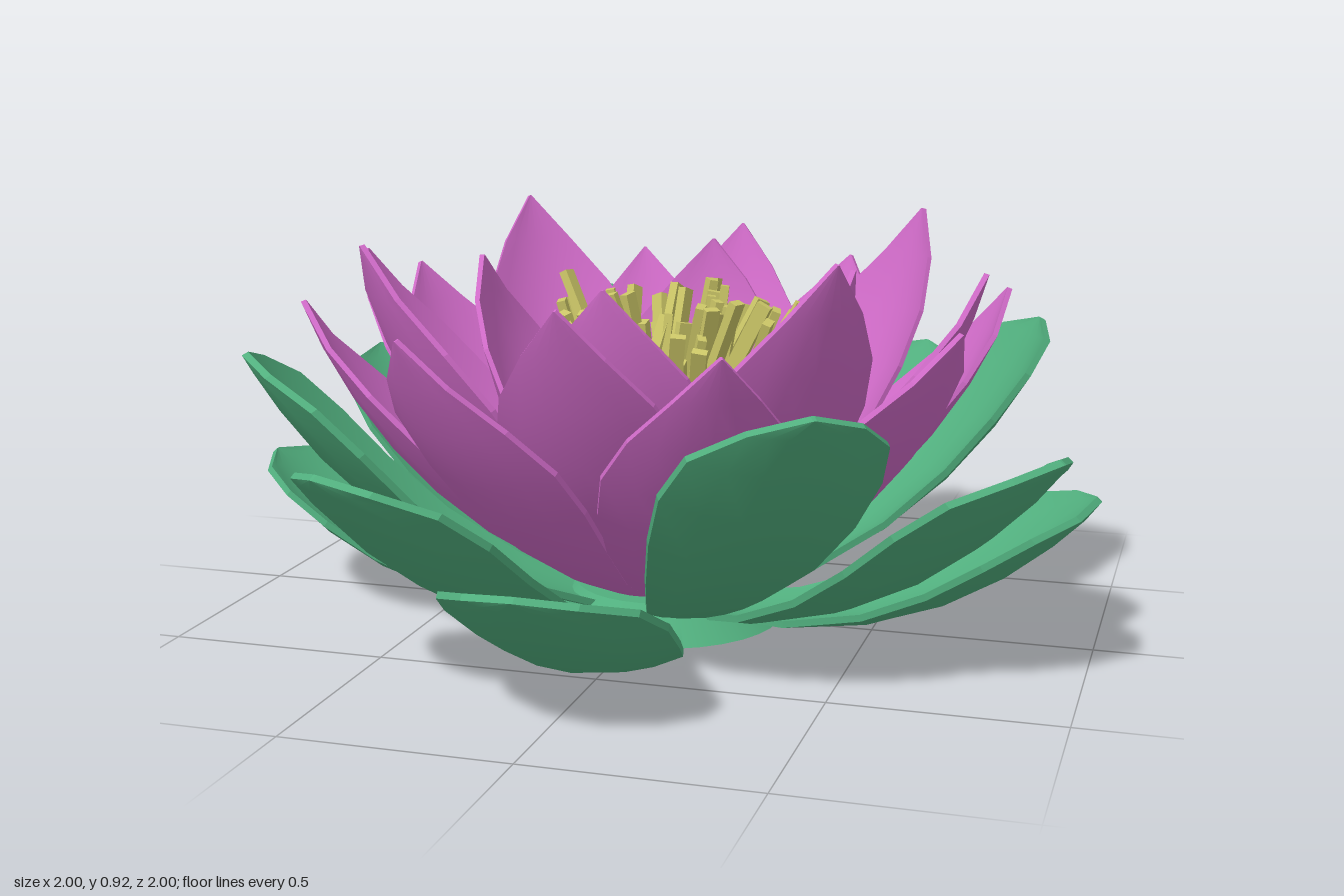
import * as THREE from 'three';

const green = new THREE.MeshStandardMaterial({ color: 0x51af7e });
green.name = 'leaf green';
const pink = new THREE.MeshStandardMaterial({ color: 0xd06bc8 });
pink.name = 'petal pink';
const yellow = new THREE.MeshStandardMaterial({ color: 0xcbc667 });
yellow.name = 'stamen yellow';

// Half-width outlines as [position along the blade, half width]
const LEAF = [[0, 0.07], [0.2, 0.135], [0.4, 0.19], [0.58, 0.225], [0.74, 0.237], [0.87, 0.21], [0.96, 0.12], [1, 0.004]];
const PETAL = [[0, 0.05], [0.18, 0.115], [0.35, 0.175], [0.5, 0.205], [0.64, 0.207], [0.78, 0.165], [0.9, 0.088], [1, 0.002]];

// Cupped blade: midline sags below the chord from base to tip, edges curl up
function bladeGeometry({ outline, base, tip, sag, cup, thick }) {
  const cols = 6, rows = outline.length;
  const [br, by] = base, dr = tip[0] - br, dy = tip[1] - by;
  const len = Math.hypot(dr, dy), cr = dr / len, cy = dy / len;
  const top = [], under = [];
  for (const [s, w] of outline) {
    const drop = 4 * sag * s * (1 - s);
    const slope = 4 * sag * (1 - 2 * s) / len;
    const r = br + dr * s + cy * drop, y = by + dy * s - cr * drop;
    let tr = cr + cy * slope, ty = cy - cr * slope;
    const tl = Math.hypot(tr, ty);
    tr /= tl; ty /= tl;
    for (let j = 0; j <= cols; j++) {
      const x = w * (2 * j / cols - 1), lift = cup * x * x;
      top.push([x, Math.max(y + tr * lift, thick), r - ty * lift]);
      under.push([x, Math.max(y + tr * (lift - thick), 0.002), r - ty * (lift - thick)]);
    }
  }
  const pos = [], index = [], n = cols + 1;
  const add = (p) => pos.push(...p) / 3 - 1;
  top.forEach(add);
  under.forEach(add);
  const off = top.length;
  for (let i = 0; i < rows - 1; i++) {
    for (let j = 0; j < cols; j++) {
      const a = i * n + j, b = a + 1, c = a + n, d = c + 1;
      index.push(a, c, b, b, c, d);
      index.push(off + a, off + b, off + c, off + b, off + d, off + c);
    }
  }
  // Sharp rim with its own vertices
  const loop = [];
  for (let i = 0; i < rows; i++) loop.push(i * n + cols);
  for (let i = rows - 1; i >= 0; i--) loop.push(i * n);
  loop.forEach((p, k) => {
    const q = loop[(k + 1) % loop.length];
    const a = add(top[p]), b = add(top[q]), c = add(under[p]), d = add(under[q]);
    index.push(a, b, c, b, d, c);
  });
  const g = new THREE.BufferGeometry();
  g.setAttribute('position', new THREE.Float32BufferAttribute(pos, 3));
  g.setIndex(index);
  g.computeVertexNormals();
  return g;
}

// Repeats one blade at the given angles, in degrees from the front
function ring(name, material, angles, shape) {
  const group = new THREE.Group();
  group.name = name;
  const geometry = bladeGeometry(shape);
  for (const a of angles) {
    const mesh = new THREE.Mesh(geometry, material);
    mesh.name = name + 'Blade';
    mesh.rotation.y = THREE.MathUtils.degToRad(a);
    group.add(mesh);
  }
  return group;
}

// Tangle of flat sticks leaning outward with a random swirl
function stamens() {
  const group = new THREE.Group();
  group.name = 'stamens';
  const count = 84, up = new THREE.Vector3(0, 1, 0);
  let seed = 23;
  const rand = () => (seed = (seed * 16807) % 2147483647) / 2147483647;
  for (let i = 0; i < count; i++) {
    const a = i * 2.4, r = 0.14 * Math.sqrt(i / count);
    const b = a + 0.5 + (rand() - 0.5) * 2.4, lean = 0.05 + 0.18 * rand();
    const from = new THREE.Vector3(Math.cos(a) * r, 0.3 + 0.12 * rand(), Math.sin(a) * r);
    const to = new THREE.Vector3(
      from.x + Math.cos(b) * lean, 0.56 + 0.23 * rand(), from.z + Math.sin(b) * lean);
    const dir = to.clone().sub(from);
    const mesh = new THREE.Mesh(new THREE.BoxGeometry(0.034, dir.length(), 0.02), yellow);
    mesh.name = 'stamen';
    mesh.position.copy(from).add(to).multiplyScalar(0.5);
    mesh.quaternion.setFromUnitVectors(up, dir.normalize());
    mesh.rotateY(rand() * Math.PI);
    group.add(mesh);
  }
  return group;
}

export function createModel() {
  const model = new THREE.Group();
  model.name = 'waterLily';

  // Round foot under the flower
  const foot = new THREE.Mesh(new THREE.CylinderGeometry(0.2, 0.28, 0.08, 32), green);
  foot.name = 'foot';
  foot.position.y = 0.04;
  model.add(foot);

  // Three tiers of outer leaves, each steeper than the last
  const leaf = { outline: LEAF, base: [0.1, 0.03], sag: 0.12, cup: 1.4, thick: 0.016 };
  model.add(
    ring('lowLeaves', green, [0, 95, 180, 270], { ...leaf, sag: 0.13, tip: [0.99, 0.33] }),
    ring('middleLeaves', green, [-25, 68, 153, 243.5], { ...leaf, tip: [1.02, 0.52] }),
    ring('highLeaves', green, [-59, 34, 121, 210.5], { ...leaf, tip: [0.935, 0.665] }),
  );

  // Pointed petals, outermost first
  const petal = { outline: PETAL, base: [0.08, 0.06], sag: 0.115, cup: 1.6, thick: 0.012 };
  model.add(
    ring('outerPetals', pink, [24.5, 65, 112.5, 159.5, 200, 246, 294, 335.5], { ...petal, tip: [0.805, 0.76] }),
    ring('sidePetals', pink, [0, 90, 180, 270], { ...petal, tip: [0.73, 0.835] }),
    ring('cornerPetals', pink, [45, 135, 225, 315], { ...petal, tip: [0.715, 0.915] }),
    ring('innerPetals', pink, [0, 90, 180, 270], { ...petal, base: [0, 0.1], tip: [0.435, 0.83] }),
  );

  model.add(stamens());
  return model;
}
